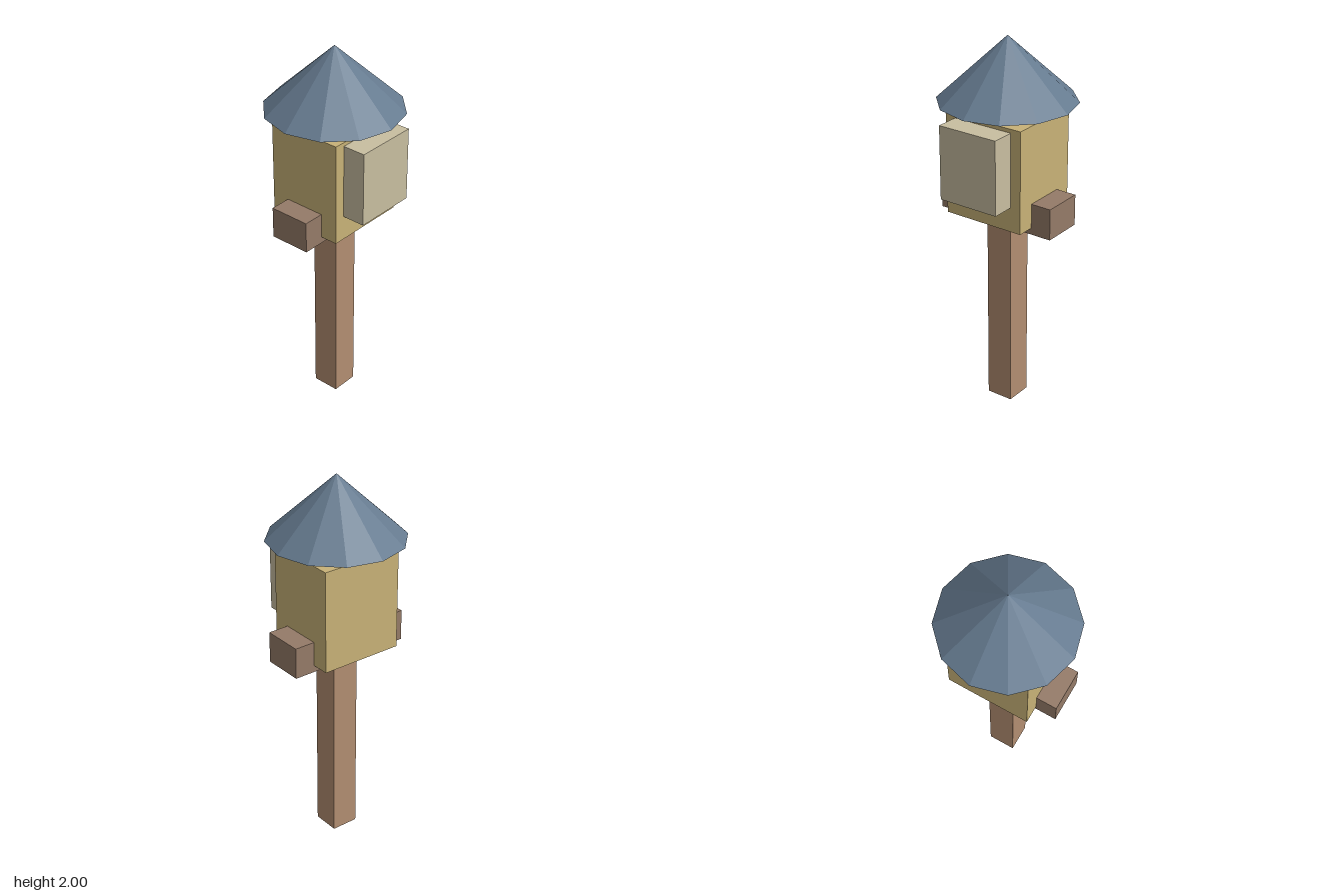
import * as THREE from 'three';

const material = (name, color, flatShading = false) => {
  const m = new THREE.MeshStandardMaterial({ color, flatShading });
  m.name = name;
  return m;
};

export function createModel() {
  const group = new THREE.Group();
  group.name = 'postBox';

  const postWood = material('post wood', 0xb28e71);
  const barWood = material('bar wood', 0x957b68);
  const straw = material('straw yellow', 0xc8b277);
  const cream = material('cream', 0xc8bea0);
  const slate = material('slate blue', 0x667b90, true);

  // Box given by its width, vertical range and depth range
  const box = (name, mat, width, y0, y1, z0, z1) => {
    const mesh = new THREE.Mesh(new THREE.BoxGeometry(width, y1 - y0, z1 - z0), mat);
    mesh.position.set(0, (y0 + y1) / 2, (z0 + z1) / 2);
    mesh.name = name;
    group.add(mesh);
  };

  box('post', postWood, 0.146, 0, 1.045, -0.073, 0.073);
  box('crossbar', barWood, 0.672, 1.045, 1.21, -0.11, 0.11);
  box('housing', straw, 0.45, 1.08, 1.62, -0.204, 0.204);
  box('frontPanel', cream, 0.336, 1.21, 1.6, 0.204, 0.327);

  // Twelve-sided roof, floating just above the housing
  const roof = new THREE.Mesh(new THREE.ConeGeometry(0.354, 0.33, 12), slate);
  roof.position.y = 1.835;
  roof.name = 'roof';
  group.add(roof);

  return group;
}
